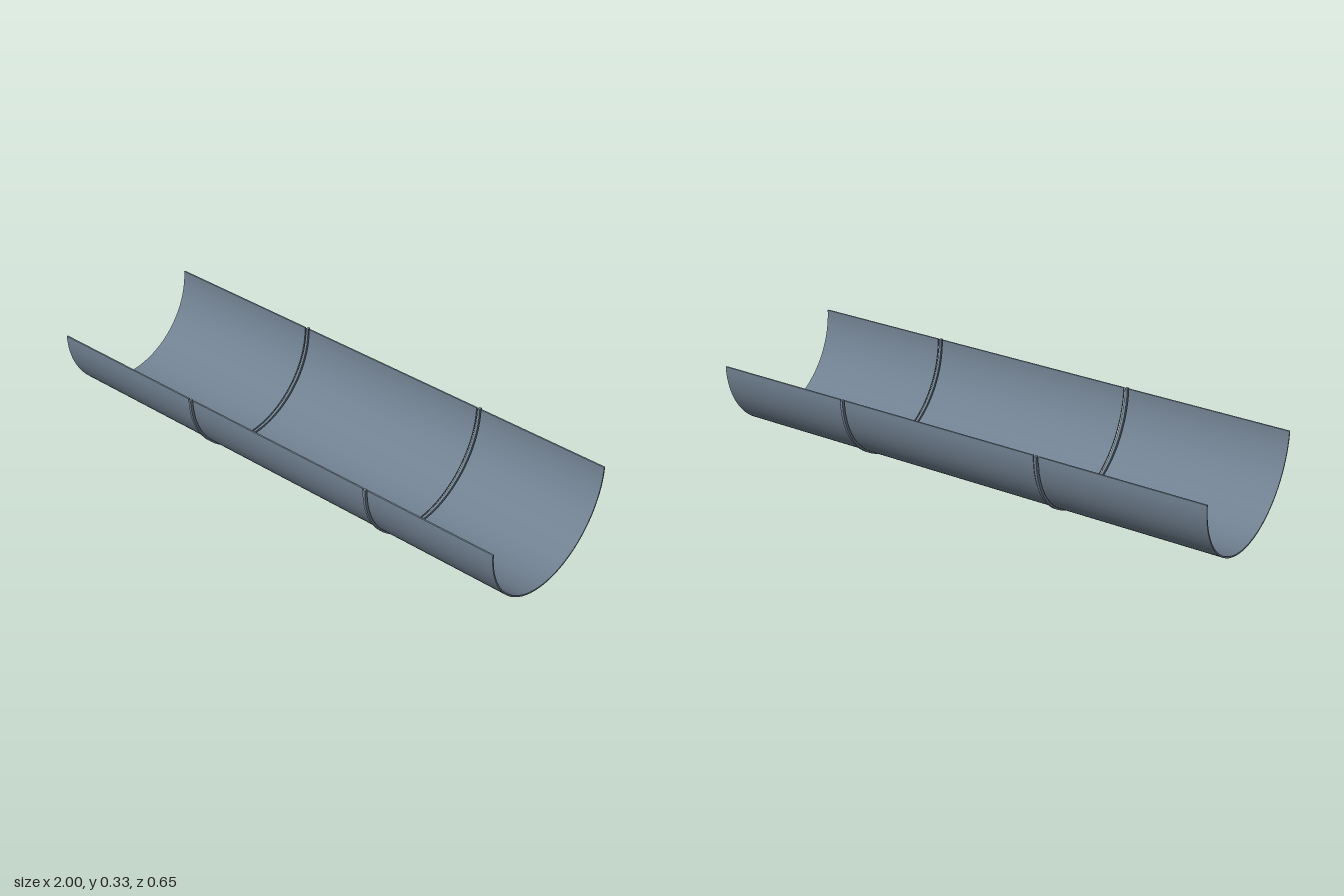
import * as THREE from 'three';
import { toCreasedNormals } from 'three/addons/utils/BufferGeometryUtils.js';

const AXIS_Y = 0.334;

const named = (name, hex) => {
  const m = new THREE.MeshStandardMaterial({ color: hex });
  m.name = name;
  return m;
};

// Half-pipe wall between two radii, running along x from x0 to x1
function halfPipe(name, inner, outer, x0, x1, material) {
  const shape = new THREE.Shape();
  shape.absarc(0, 0, outer, Math.PI, Math.PI * 2, false);
  shape.absarc(0, 0, inner, Math.PI * 2, Math.PI, true);
  shape.closePath();
  let geo = new THREE.ExtrudeGeometry(shape, { depth: x1 - x0, bevelEnabled: false, curveSegments: 56 });
  geo = toCreasedNormals(geo, 0.5);
  geo.rotateY(Math.PI / 2);
  geo.translate(x0, AXIS_Y, 0);
  const mesh = new THREE.Mesh(geo, material);
  mesh.name = name;
  return mesh;
}

export function createModel() {
  const model = new THREE.Group();
  model.name = 'halfPipe';
  const steel = named('slate steel', 0x708090);
  const plateGrey = named('plate grey', 0x6e7a82);

  // Three trough sections separated by narrow joints
  const sections = [[-1, -0.362], [-0.341, 0.453], [0.473, 1]];
  sections.forEach(([a, b], i) =>
    model.add(halfPipe(`troughSection${i + 1}`, 0.313, 0.319, a, b, steel)));

  // A slightly proud ring floats in each joint
  [-0.3515, 0.463].forEach((x, i) =>
    model.add(halfPipe(`jointRing${i + 1}`, 0.312, 0.325, x - 0.005, x + 0.005, steel)));

  // Access plate under the first section
  const plate = new THREE.Group();
  plate.name = 'accessPlate';
  const panel = new THREE.Mesh(new THREE.BoxGeometry(0.22, 0.009, 0.09), plateGrey);
  panel.name = 'platePanel';
  panel.position.set(-0.58, 0.0115, 0);
  plate.add(panel);

  // Two rows of small rivets
  const rivetGeo = new THREE.CylinderGeometry(0.004, 0.004, 0.008, 12);
  for (const z of [-0.038, 0.038]) {
    for (let i = 0; i < 6; i++) {
      const rivet = new THREE.Mesh(rivetGeo, plateGrey);
      rivet.name = 'plateRivet';
      rivet.position.set(-0.68 + i * 0.04, 0.004, z);
      plate.add(rivet);
    }
  }
  model.add(plate);
  return model;
}
